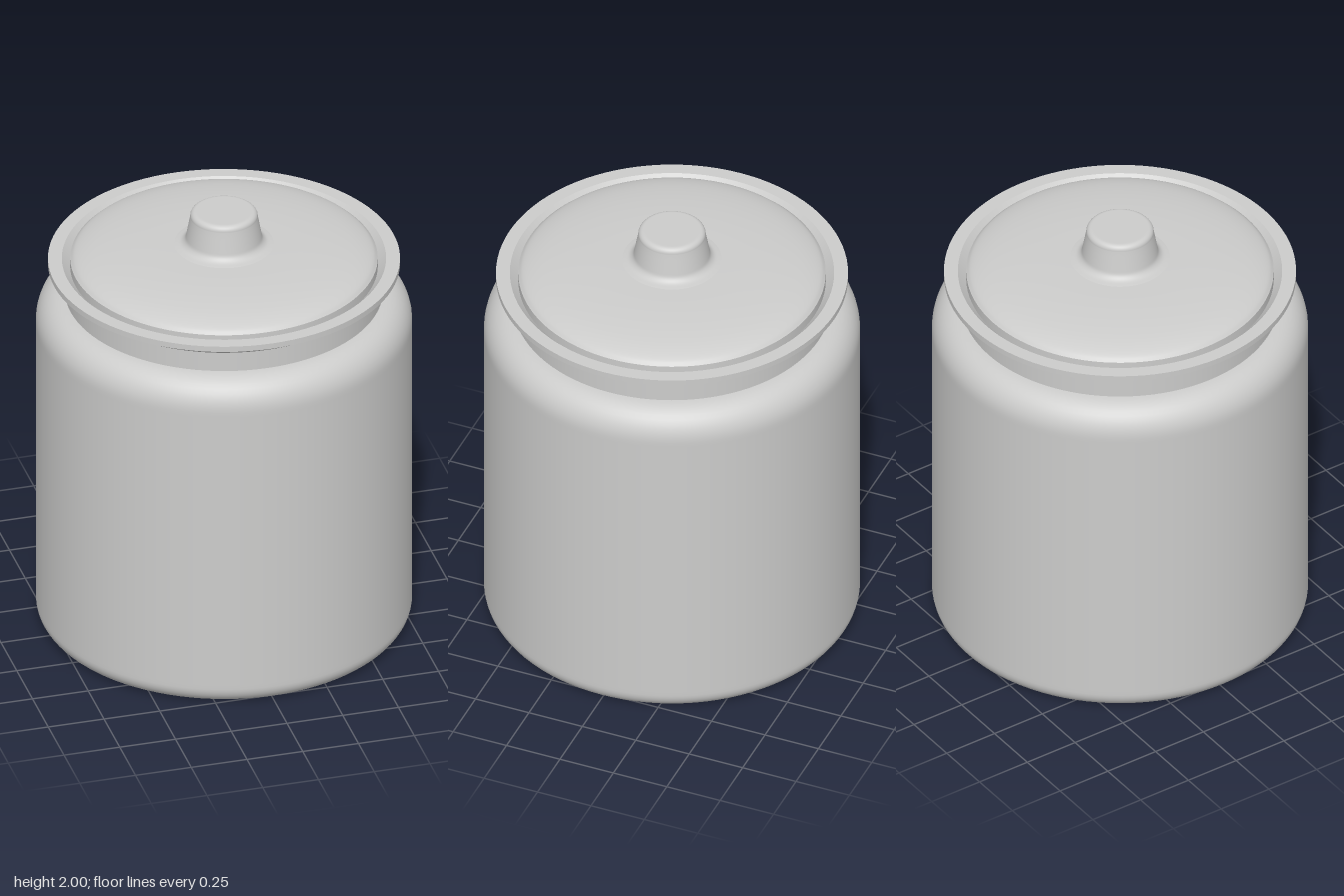
import * as THREE from 'three';
import { mergeGeometries } from 'three/addons/utils/BufferGeometryUtils.js';

const SEGMENTS = 96;

// Points of a quarter-round from angle a to b (radians, 0 = outward, PI/2 = up)
function arc(cx, cy, rx, ry, a, b, n = 10) {
  return Array.from({ length: n + 1 }, (_, i) => {
    const t = a + ((b - a) * i) / n;
    return [cx + rx * Math.cos(t), cy + ry * Math.sin(t)];
  });
}

// Each run is smooth along its length; edges between runs stay sharp
function turned(name, material, runs) {
  const parts = runs.map((run) =>
    new THREE.LatheGeometry(run.map(([r, y]) => new THREE.Vector2(r, y)), SEGMENTS));
  const mesh = new THREE.Mesh(mergeGeometries(parts), material);
  mesh.name = name;
  return mesh;
}

// Smooth run through a few control points
function curved(points, n) {
  const curve = new THREE.CatmullRomCurve3(
    points.map(([r, y]) => new THREE.Vector3(r, y, 0)), false, 'centripetal');
  return curve.getPoints(n).map((p) => [p.x, p.y]);
}

export function createModel() {
  const group = new THREE.Group();
  group.name = 'lidded jar';
  const ceramic = new THREE.MeshStandardMaterial({ color: 0xcccccb, side: THREE.DoubleSide });
  ceramic.name = 'pale grey ceramic';

  // Body: flat base, rounded foot, straight wall, rounded shoulder
  group.add(turned('body', ceramic, [
    [[0, 0], [0.735, 0]],
    [
      ...arc(0.735, 0.08, 0.077, 0.08, -Math.PI / 2, 0),
      [0.812, 0.1], [0.812, 1.44],
      ...arc(0.687, 1.46, 0.125, 0.14, 0, Math.PI / 2),
    ],
  ]));

  // Neck
  group.add(turned('neck', ceramic, [[[0.685, 1.6], [0.685, 1.69]]]));

  // Flared rim with a sloping inner seat
  group.add(turned('rim', ceramic, [
    [[0.685, 1.69], [0.76, 1.738]],
    [[0.76, 1.738], [0.76, 1.764]],
    [[0.76, 1.764], [0.7, 1.764]],
    [[0.7, 1.764], [0.66, 1.72]],
  ]));

  // Domed lid
  group.add(turned('lid', ceramic, [
    [[0, 1.72], [0.664, 1.72]],
    [[0.664, 1.72], [0.664, 1.765]],
    curved([[0.664, 1.765], [0.645, 1.782], [0.59, 1.803], [0.5, 1.82],
      [0.36, 1.833], [0.2, 1.838], [0, 1.838]], 32),
  ]));

  // Knob: flared foot, tapered stem, softened flat top
  group.add(turned('knob', ceramic, [
    [
      ...curved([[0.215, 1.838], [0.185, 1.845], [0.168, 1.862], [0.161, 1.89]], 14),
      [0.151, 1.945], [0.146, 1.972],
      ...arc(0.122, 1.976, 0.024, 0.024, 0, Math.PI / 2, 8),
      [0.115, 2], [0, 2],
    ],
  ]));

  return group;
}
